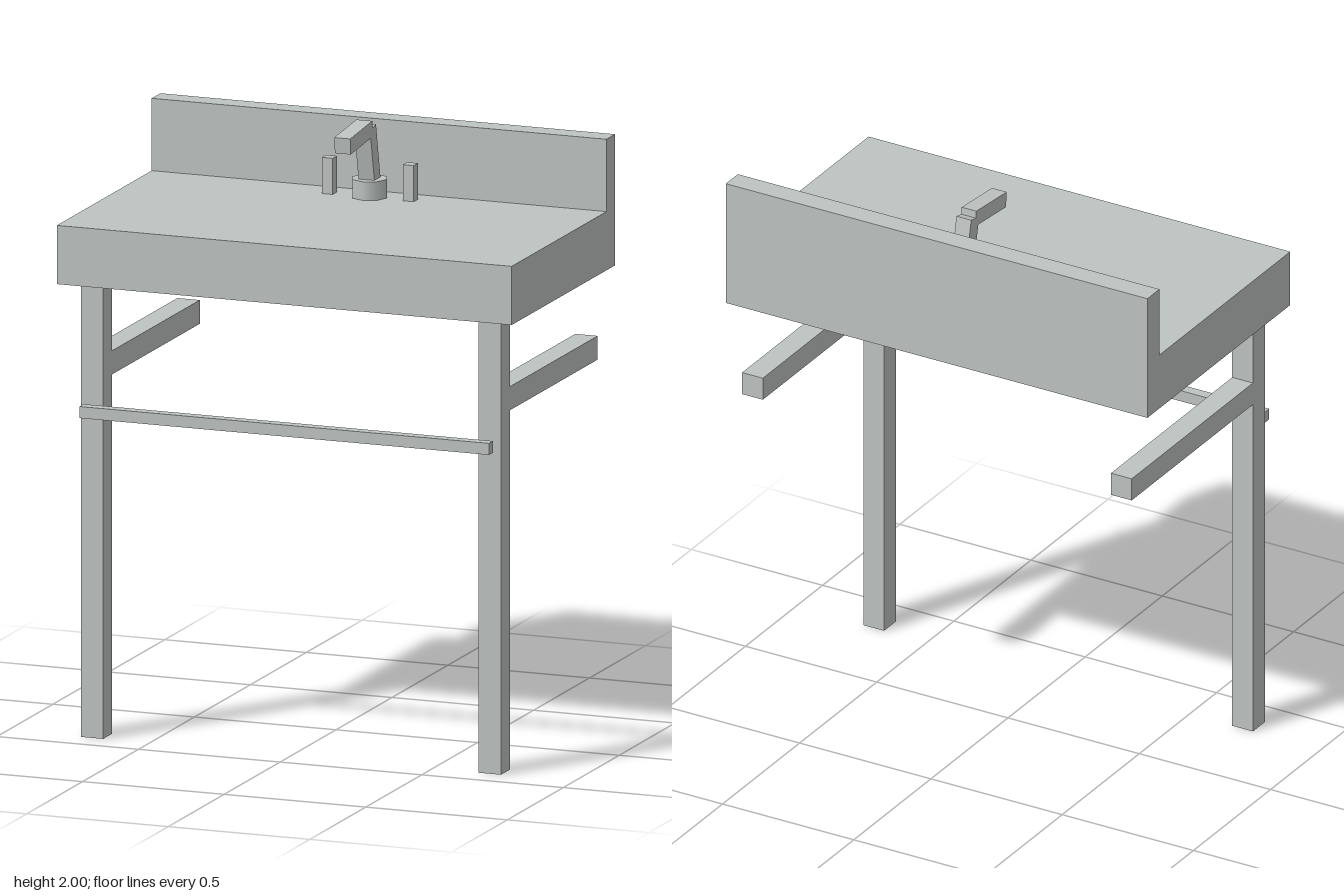
import * as THREE from 'three';

export function createModel() {
  const model = new THREE.Group();
  model.name = 'consoleSink';
  const grey = new THREE.MeshStandardMaterial({ color: 0xbec4c2 });
  grey.name = 'paleGrey';

  const add = (name, geometry, x, y, z, tilt = 0) => {
    const mesh = new THREE.Mesh(geometry, grey);
    mesh.name = name;
    mesh.position.set(x, y, z);
    mesh.rotation.x = tilt;
    model.add(mesh);
    return mesh;
  };
  // Box given by its lower and upper corners
  const box = (name, [x0, y0, z0], [x1, y1, z1]) =>
    add(name, new THREE.BoxGeometry(x1 - x0, y1 - y0, z1 - z0),
      (x0 + x1) / 2, (y0 + y1) / 2, (z0 + z1) / 2);

  // Counter and splashback: one L-shaped profile (z, y) extruded along x
  const profile = new THREE.Shape([
    [-0.463, 1.535], [0.463, 1.535], [0.463, 1.733],
    [-0.385, 1.733], [-0.385, 1.977], [-0.463, 1.977],
  ].map(([z, y]) => new THREE.Vector2(-z, y)));
  const counter = new THREE.ExtrudeGeometry(profile, { depth: 1.606, bevelEnabled: false });
  counter.translate(0, 0, -0.803).rotateY(Math.PI / 2);
  add('counterAndSplashback', counter, 0, 0, 0);

  // Legs, wall arms and tap handles, mirrored
  for (const [side, s] of [['left', 1], ['right', -1]]) {
    const pair = (name, xa, xb, y0, y1, z0, z1) =>
      box(side + name, [Math.min(s * xa, s * xb), y0, z0], [Math.max(s * xa, s * xb), y1, z1]);
    pair('Leg', 0.663, 0.742, 0, 1.535, 0.325, 0.403);
    pair('WallArm', 0.663, 0.742, 1.212, 1.292, -0.461, 0.325);
    pair('TapHandle', 0.124, 0.162, 1.733, 1.855, -0.322, -0.284);
  }

  // Towel bar in front of the legs
  box('towelBar', [-0.723, 1.09, 0.426], [0.723, 1.129, 0.463]);

  // Tap: eight-sided base, leaning neck and drooping spout
  add('tapBase', new THREE.CylinderGeometry(0.061, 0.061, 0.063, 8), 0, 1.7645, -0.301);
  add('tapNeck', new THREE.BoxGeometry(0.056, 0.235, 0.053), 0, 1.862, -0.285, 0.21);
  add('tapSpout', new THREE.BoxGeometry(0.056, 0.054, 0.198), 0, 1.965, -0.157, 0.09);

  return model;
}
